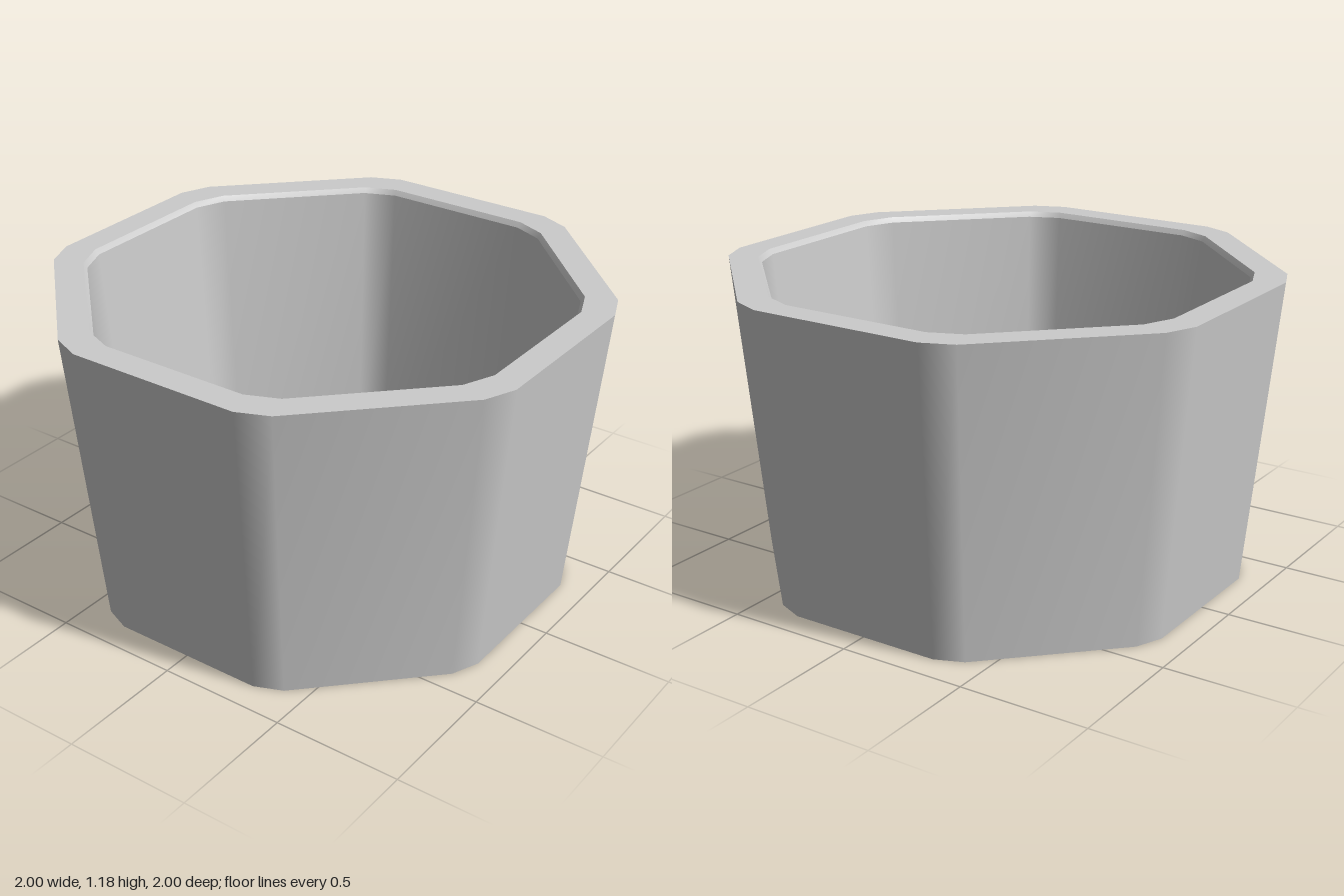
import * as THREE from 'three';

const HEIGHT = 1.18;

// Octagon with clipped corners: flats at the given apothem, corners cut by +-clip degrees
function ring(apothem, y, clip) {
  const points = [];
  const radius = apothem / Math.cos(THREE.MathUtils.degToRad(22.5 - clip));
  for (let i = 0; i < 8; i++) {
    for (const side of [-1, 1]) {
      const a = THREE.MathUtils.degToRad(22.5 + i * 45 + side * clip);
      points.push([radius * Math.sin(a), y, radius * Math.cos(a)]);
    }
  }
  return points;
}

// Closed band between two rings, smooth around the corners
function band(name, lower, upper, material) {
  const n = lower.length;
  const index = [];
  for (let i = 0; i < n; i++) {
    const j = (i + 1) % n;
    index.push(i, j, n + j, i, n + j, n + i);
  }
  const geometry = new THREE.BufferGeometry();
  geometry.setAttribute('position', new THREE.Float32BufferAttribute([...lower, ...upper].flat(), 3));
  geometry.setIndex(index);
  geometry.computeVertexNormals();
  const mesh = new THREE.Mesh(geometry, material);
  mesh.name = name;
  return mesh;
}

export function createModel() {
  const group = new THREE.Group();
  group.name = 'taperedOctagonalSleeve';
  const material = new THREE.MeshStandardMaterial({ color: 0xcccccc });

  // Section corners, walking up the outside, over the rim and down the inside
  const section = [
    ring(0.89, 0, 3.5),
    ring(1, HEIGHT, 3.5),
    ring(0.89, HEIGHT, 4),
    ring(0.877, HEIGHT - 0.02, 4),
    ring(0.785, 0, 4),
  ];
  const names = ['outerWall', 'topRim', 'innerRimBevel', 'innerWall', 'bottomRim'];
  names.forEach((name, i) => {
    group.add(band(name, section[i], section[(i + 1) % section.length], material));
  });
  return group;
}
